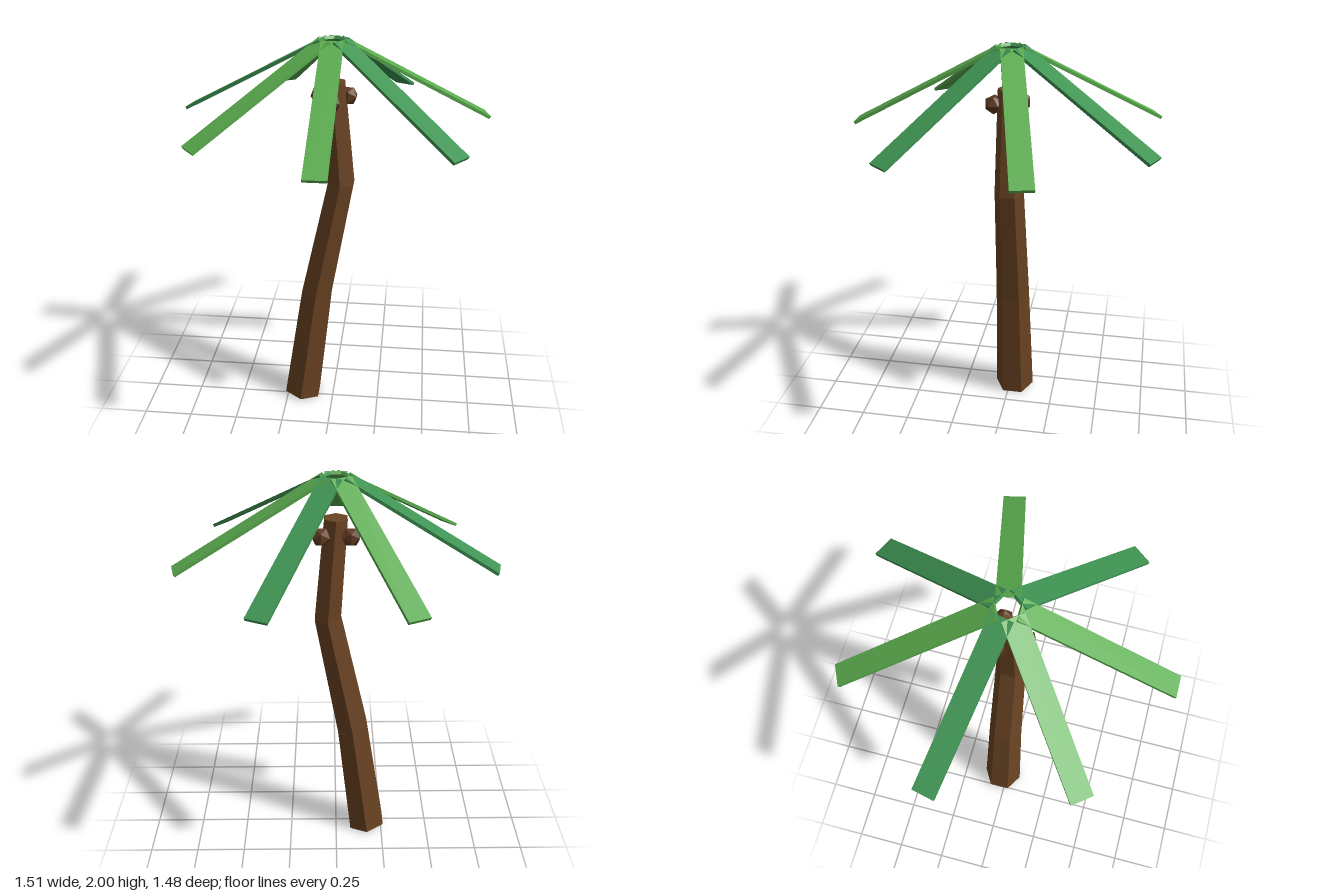
import * as THREE from 'three';

export function createModel() {
  const tree = new THREE.Group();
  tree.name = 'palmTree';

  const mat = (name, color) => {
    const m = new THREE.MeshStandardMaterial({ color, flatShading: true });
    m.name = name;
    return m;
  };
  const bark = mat('bark brown', 0x6b4423);
  const nut = mat('coconut brown', 0x5f3920);
  const leaves = [mat('leaf green', 0x5aab4e), mat('deep leaf green', 0x3f9453)];

  // Everything gathers around one upright axis
  const axis = new THREE.Group();
  axis.name = 'axis';
  axis.position.z = -0.027;
  tree.add(axis);

  const add = (name, geometry, material, parent = axis) => {
    const mesh = new THREE.Mesh(geometry, material);
    mesh.name = name;
    parent.add(mesh);
    return mesh;
  };

  // Bent hexagonal trunk: centre x, y, radius and tilt of each ring
  const rings = [
    [-0.17, 0.015, 0.105, 0.14],
    [-0.085, 0.66, 0.088, 0.2],
    [0.04, 1.29, 0.073, 0.06],
    [0, 1.8, 0.062, 0],
  ];
  const trunk = new THREE.CylinderGeometry(1, 1, 1, 6, rings.length - 1);
  const p = trunk.attributes.position;
  for (let i = 0; i < p.count; i++) {
    const [x, y, r, tilt] = rings[Math.round((p.getY(i) + 0.5) * (rings.length - 1))];
    const across = p.getX(i) * r;
    p.setXYZ(i, x + across * Math.cos(tilt), y - across * Math.sin(tilt), p.getZ(i) * r);
  }
  trunk.computeVertexNormals();
  add('trunk', trunk, bark);

  // Three coconuts under the crown
  const nutGeometry = new THREE.IcosahedronGeometry(0.048, 0);
  for (let i = 0; i < 3; i++) {
    const a = (i * Math.PI * 2) / 3;
    add('coconut', nutGeometry, nut).position.set(Math.sin(a) * 0.08, 1.72, Math.cos(a) * 0.08);
  }

  // Seven drooping fronds in alternating greens
  const frond = new THREE.BoxGeometry(0.105, 0.015, 0.81);
  frond.rotateX(0.5);
  frond.translate(0, 1.8, 0.405);
  for (let i = 0; i < 7; i++) {
    add('frond', frond, leaves[i % 2]).rotation.y = (i * Math.PI * 2) / 7;
  }

  return tree;
}
